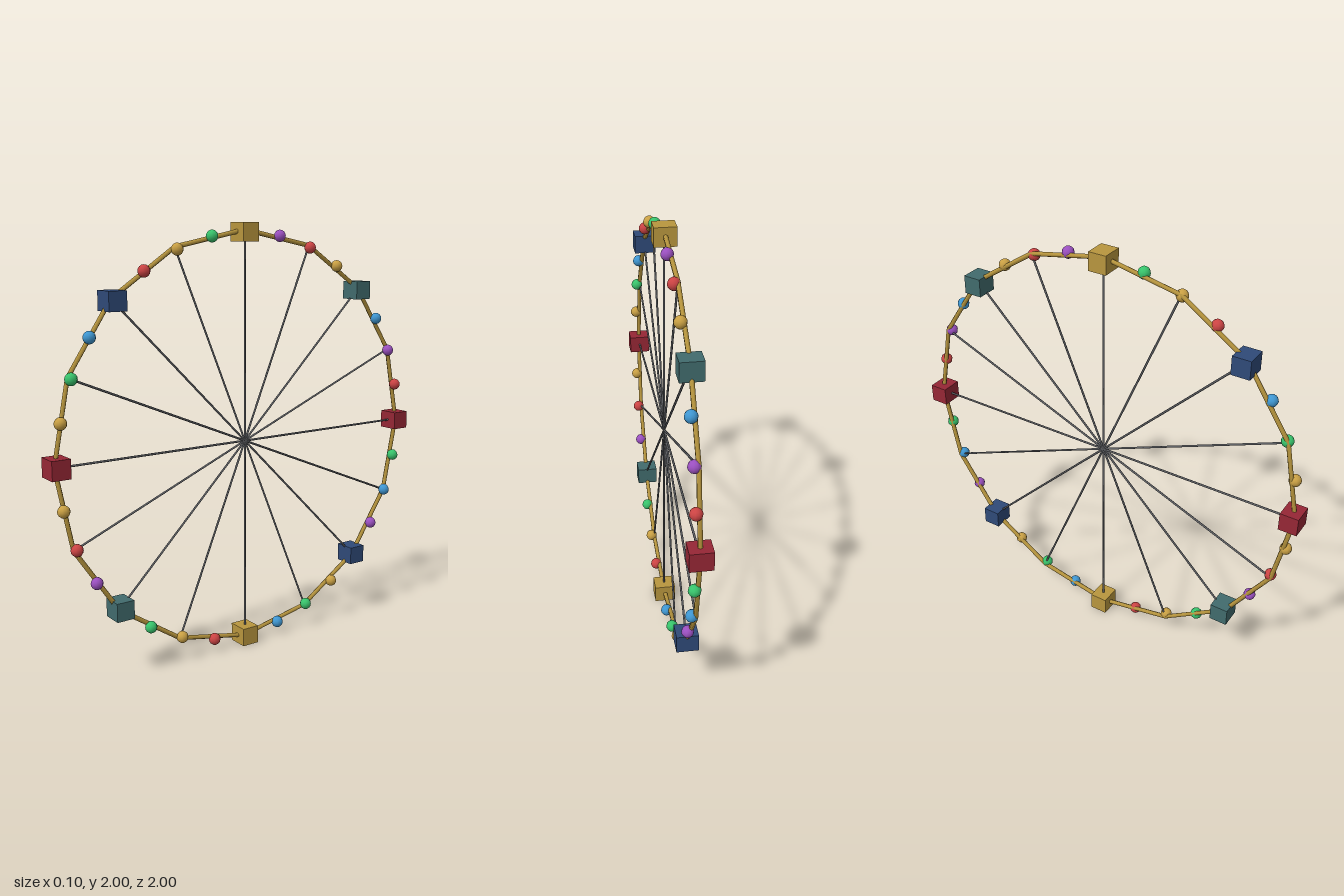
import * as THREE from 'three';

const RADIUS = 0.957;
const CENTER_Y = 1;

const mat = (name, color) => {
  const m = new THREE.MeshStandardMaterial({ color });
  m.name = name;
  return m;
};

export function createModel() {
  const group = new THREE.Group();
  group.name = 'wheel';

  const gold = mat('gold', 0xb8963e);
  const navy = mat('navy', 0x2f4a78);
  const crimson = mat('crimson', 0x962735);
  const teal = mat('teal', 0x416b6d);
  const steel = mat('steel', 0x5c5e62);
  const beads = {
    R: mat('beadRed', 0xcc4444),
    G: mat('beadGreen', 0x38c46c),
    B: mat('beadBlue', 0x3f97d2),
    P: mat('beadPurple', 0x9b50c0),
    Y: mat('beadAmber', 0xc9a044),
  };

  const add = (name, geometry, material, x = 0, y = CENTER_Y, z = 0) => {
    const mesh = new THREE.Mesh(geometry, material);
    mesh.name = name;
    mesh.position.set(x, y, z);
    group.add(mesh);
    return mesh;
  };

  // Sixteen-sided rim, standing in the y-z plane
  add('rim', new THREE.TorusGeometry(0.967, 0.011, 6, 16).rotateY(Math.PI / 2), gold);

  // Spokes from the centre to each rim corner
  const spokeGeo = new THREE.CylinderGeometry(0.005, 0.005, RADIUS, 6).translate(0, RADIUS / 2, 0);
  for (let i = 0; i < 16; i++) {
    add('spoke', spokeGeo, steel).rotation.x = (i * Math.PI) / 8;
  }

  // Upright cabins and light beads, from the top towards +z;
  // '-' marks a cabin, letters are bead colours
  const order = '-GYR-BGY-YRP-GYR-BGY-PBG-RPB-YRP';
  const cabinMats = [gold, navy, crimson, teal];
  const cabinGeo = new THREE.BoxGeometry(0.1, 0.086, 0.086);
  const beadGeo = new THREE.SphereGeometry(0.028, 10, 8);
  [...order].forEach((key, k) => {
    const a = (k * Math.PI) / 16;
    const y = CENTER_Y + RADIUS * Math.cos(a);
    const z = RADIUS * Math.sin(a);
    if (key === '-') add('cabin', cabinGeo, cabinMats[(k / 4) % 4], 0, y, z);
    else add('lightBead', beadGeo, beads[key], 0.015, y, z);
  });

  return group;
}
